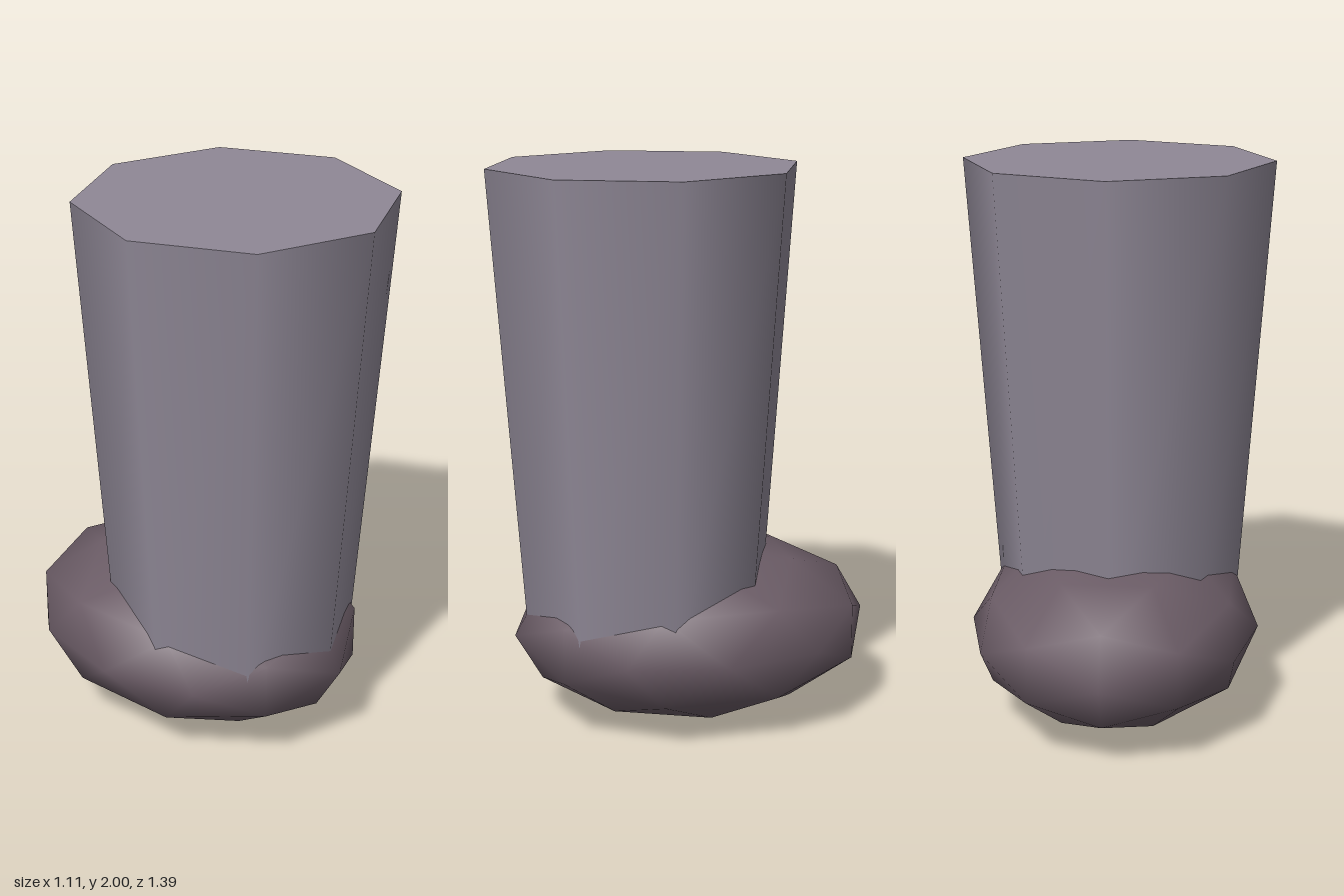
import * as THREE from 'three';

export function createModel() {
  const model = new THREE.Group();
  model.name = 'bootLeg';

  const legGrey = new THREE.MeshStandardMaterial({ color: 0x8f8896 });
  legGrey.name = 'leg grey';
  const footBrown = new THREE.MeshStandardMaterial({ color: 0x6b5c66 });
  footBrown.name = 'foot brown';

  // Tapered eight-sided leg, its lower end sunk into the foot
  const topY = 2, bottomY = 0.28;
  const leg = new THREE.Mesh(
    new THREE.CylinderGeometry(0.555, 0.433, topY - bottomY, 8), legGrey);
  leg.name = 'leg';
  leg.position.set(0, (topY + bottomY) / 2, 0.137);

  // Rounded foot: a smooth, low-poly sphere stretched along z
  const footShape = new THREE.IcosahedronGeometry(1, 1);
  footShape.scale(0.525, 0.324, 0.658);
  const foot = new THREE.Mesh(footShape, footBrown);
  foot.name = 'foot';
  foot.position.set(0, 0.325, -0.036);

  model.add(leg, foot);
  return model;
}
